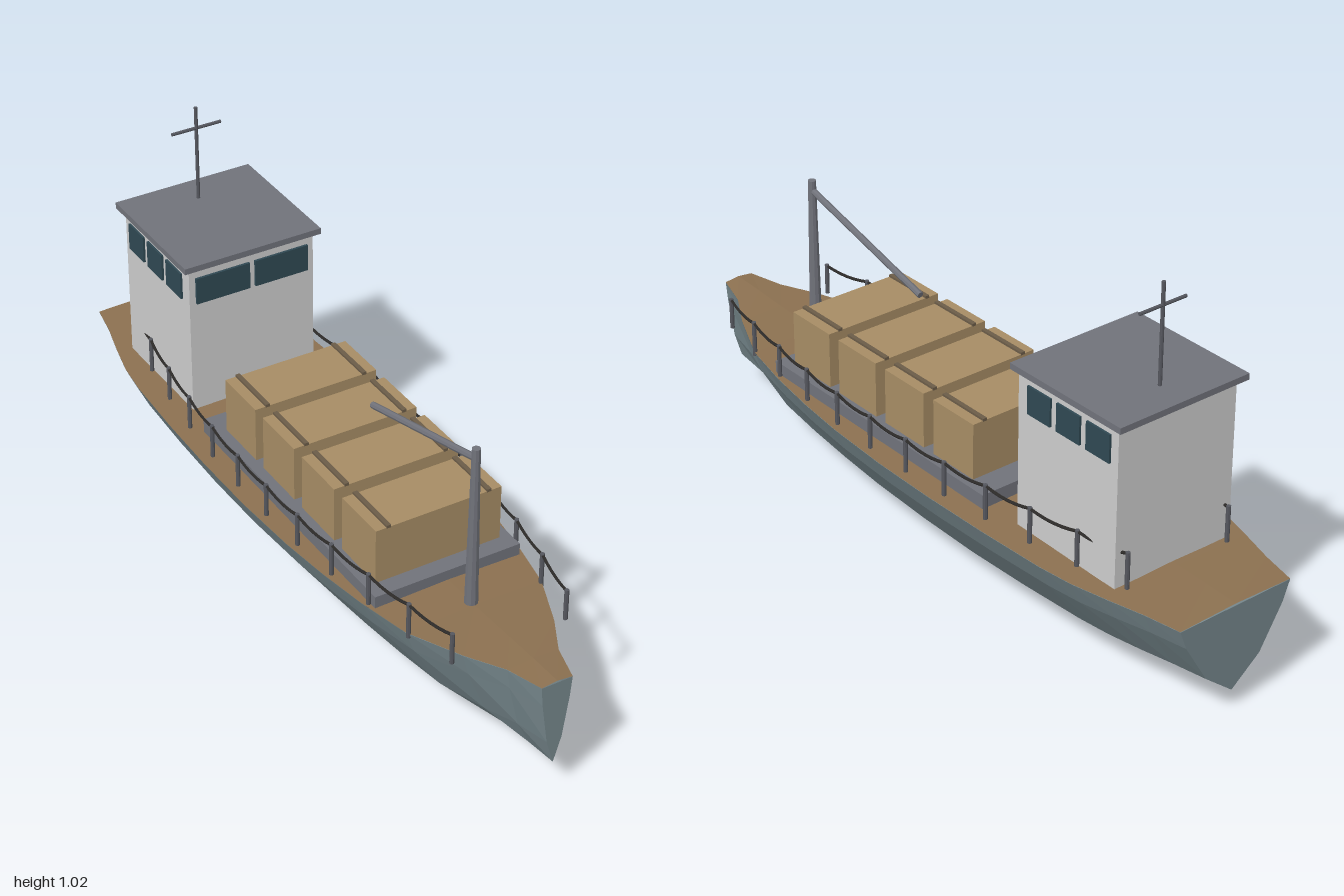
import * as THREE from 'three';

const paint = (color) => new THREE.MeshStandardMaterial({ color, flatShading: true });
const MAT = {
  hull: paint(0x75868b), deck: paint(0x8b7050), cabin: paint(0xcccccc), metal: paint(0x70727a),
  post: paint(0x55575e), crate: paint(0xa68c64), strap: paint(0x6b5c48),
  glass: paint(0x2f4852), rope: paint(0x2c2a28),
};
MAT.hull.side = MAT.deck.side = THREE.DoubleSide;

function add(parent, name, geometry, material) {
  const mesh = new THREE.Mesh(geometry, material);
  mesh.name = name;
  parent.add(mesh);
  return mesh;
}

// Box given by its min and max on each axis
function box(parent, name, material, [x0, x1], [y0, y1], [z0, z1]) {
  const mesh = add(parent, name, new THREE.BoxGeometry(x1 - x0, y1 - y0, z1 - z0), material);
  mesh.position.set((x0 + x1) / 2, (y0 + y1) / 2, (z0 + z1) / 2);
  return mesh;
}

// Round bar between two points
function bar(parent, name, material, a, b, r0, r1 = r0, sides = 8) {
  const from = new THREE.Vector3(...a), to = new THREE.Vector3(...b);
  const dir = to.clone().sub(from);
  const mesh = add(parent, name, new THREE.CylinderGeometry(r1, r0, dir.length(), sides), material);
  mesh.position.copy(from).add(to).multiplyScalar(0.5);
  mesh.quaternion.setFromUnitVectors(new THREE.Vector3(0, 1, 0), dir.normalize());
  return mesh;
}

// Hull stations: z, half width, keel height, deck edge height
const STATIONS = [
  [1, 0.043, 0.09, 0.332], [0.9, 0.072, 0.075, 0.328], [0.8, 0.128, 0.058, 0.322],
  [0.65, 0.193, 0.036, 0.313], [0.5, 0.224, 0.026, 0.31], [0.35, 0.246, 0.017, 0.308],
  [0.2, 0.262, 0.009, 0.307], [0, 0.273, 0.003, 0.306], [-0.2, 0.275, 0, 0.305],
  [-0.4, 0.27, 0.005, 0.303], [-0.6, 0.259, 0.014, 0.3], [-0.7, 0.246, 0.021, 0.298],
  [-0.8, 0.222, 0.03, 0.296], [-0.9, 0.195, 0.041, 0.294], [-1, 0.175, 0.053, 0.292],
];
// Section from deck edge to keel: share of half width, share of height
const SECTION = [[1, 1], [0.88, 0.77], [0.49, 0.29], [0, 0]];

function loft(rows, capped) {
  const n = rows[0].length, index = [];
  for (let i = 0; i < rows.length - 1; i++) {
    for (let j = 0; j < n - 1; j++) {
      const a = i * n + j, b = a + n;
      index.push(a, b, a + 1, a + 1, b, b + 1);
    }
  }
  if (capped) {
    const last = (rows.length - 1) * n;
    for (let j = 1; j < n - 1; j++) index.push(0, j, j + 1, last, last + j + 1, last + j);
  }
  const geometry = new THREE.BufferGeometry();
  geometry.setAttribute('position', new THREE.Float32BufferAttribute(rows.flat(2), 3));
  geometry.setIndex(index);
  const flat = geometry.toNonIndexed();
  flat.computeVertexNormals();
  return flat;
}

function buildHull(group) {
  const full = [...SECTION.map(([u, v]) => [-u, v]), ...SECTION.slice(0, -1).reverse()];
  const shell = STATIONS.map(([z, w, keel, top]) =>
    full.map(([u, v]) => [u * w, keel + v * (top - keel), z]));
  add(group, 'hull', loft(shell, true), MAT.hull);
  // Slightly cambered deck
  const deck = STATIONS.map(([z, w, , top]) =>
    [1, 0, -1].map((u) => [u * w, top + (u ? 0.001 : 0.006), z]));
  add(group, 'deck', loft(deck, false), MAT.deck);
}

function buildCargo(group) {
  box(group, 'cargoPlatform', MAT.metal, [-0.207, 0.207], [0.305, 0.345], [-0.327, 0.533]);
  for (let i = 0; i < 4; i++) {
    const z = 0.408 - i * 0.195;
    const crate = new THREE.Group();
    crate.name = 'crate';
    box(crate, 'crateBody', MAT.crate, [-0.178, 0.178], [0.345, 0.5], [z - 0.078, z + 0.078]);
    for (const x of [-0.142, 0.142]) {
      box(crate, 'crateStrap', MAT.strap, [x - 0.006, x + 0.006], [0.498, 0.506], [z - 0.079, z + 0.079]);
    }
    group.add(crate);
  }
}

function buildCabin(group) {
  const cabin = new THREE.Group();
  cabin.name = 'wheelhouse';
  box(cabin, 'cabinWalls', MAT.cabin, [-0.183, 0.183], [0.3, 0.735], [-0.782, -0.43]);
  box(cabin, 'cabinRoof', MAT.metal, [-0.2, 0.2], [0.735, 0.752], [-0.805, -0.417]);
  const height = [0.632, 0.708];
  for (const s of [-1, 1]) {
    const front = [0.008 * s, 0.165 * s].sort((a, b) => a - b);
    box(cabin, 'frontWindow', MAT.glass, front, height, [-0.436, -0.423]);
    const side = [0.178 * s, 0.189 * s].sort((a, b) => a - b);
    for (let i = 0; i < 3; i++) {
      const z = -0.508 - i * 0.104;
      box(cabin, 'sideWindow', MAT.glass, side, height, [z - 0.041, z + 0.041]);
    }
  }
  // Aerial on the roof
  bar(cabin, 'aerialMast', MAT.post, [0, 0.75, -0.716], [0, 1.023, -0.716], 0.005);
  bar(cabin, 'aerialCrossbar', MAT.post, [-0.072, 0.962, -0.716], [0.072, 0.962, -0.716], 0.0045);
  group.add(cabin);
}

function buildCrane(group) {
  bar(group, 'craneMast', MAT.metal, [0, 0.305, 0.635], [0, 0.77, 0.635], 0.018, 0.011, 10);
  bar(group, 'craneBoom', MAT.metal, [0, 0.742, 0.637], [0, 0.618, 0.177], 0.009);
}

function buildRailing(group) {
  const count = 12, step = 1.6 / (count - 1);
  const railX = (z) => 0.246 - 0.086 * (z / 0.8) ** 2;
  for (const s of [-1, 1]) {
    const rail = new THREE.Group();
    rail.name = s > 0 ? 'leftRailing' : 'rightRailing';
    for (let i = 0; i < count; i++) {
      const z = 0.8 - i * step, x = s * railX(z);
      bar(rail, 'railPost', MAT.post, [x, z > 0.7 ? 0.315 : 0.302, z], [x, 0.403, z], 0.006);
      if (i === count - 1) continue;
      // Rope sagging to the next post
      const zn = z - step, zm = (z + zn) / 2;
      const curve = new THREE.QuadraticBezierCurve3(
        new THREE.Vector3(x, 0.399, z),
        new THREE.Vector3(s * railX(zm), 0.381, zm),
        new THREE.Vector3(s * railX(zn), 0.399, zn));
      add(rail, 'railRope', new THREE.TubeGeometry(curve, 6, 0.004, 6), MAT.rope);
    }
    group.add(rail);
  }
}

export function createModel() {
  const ship = new THREE.Group();
  ship.name = 'cargoBoat';
  buildHull(ship);
  buildCargo(ship);
  buildCabin(ship);
  buildCrane(ship);
  buildRailing(ship);
  return ship;
}
